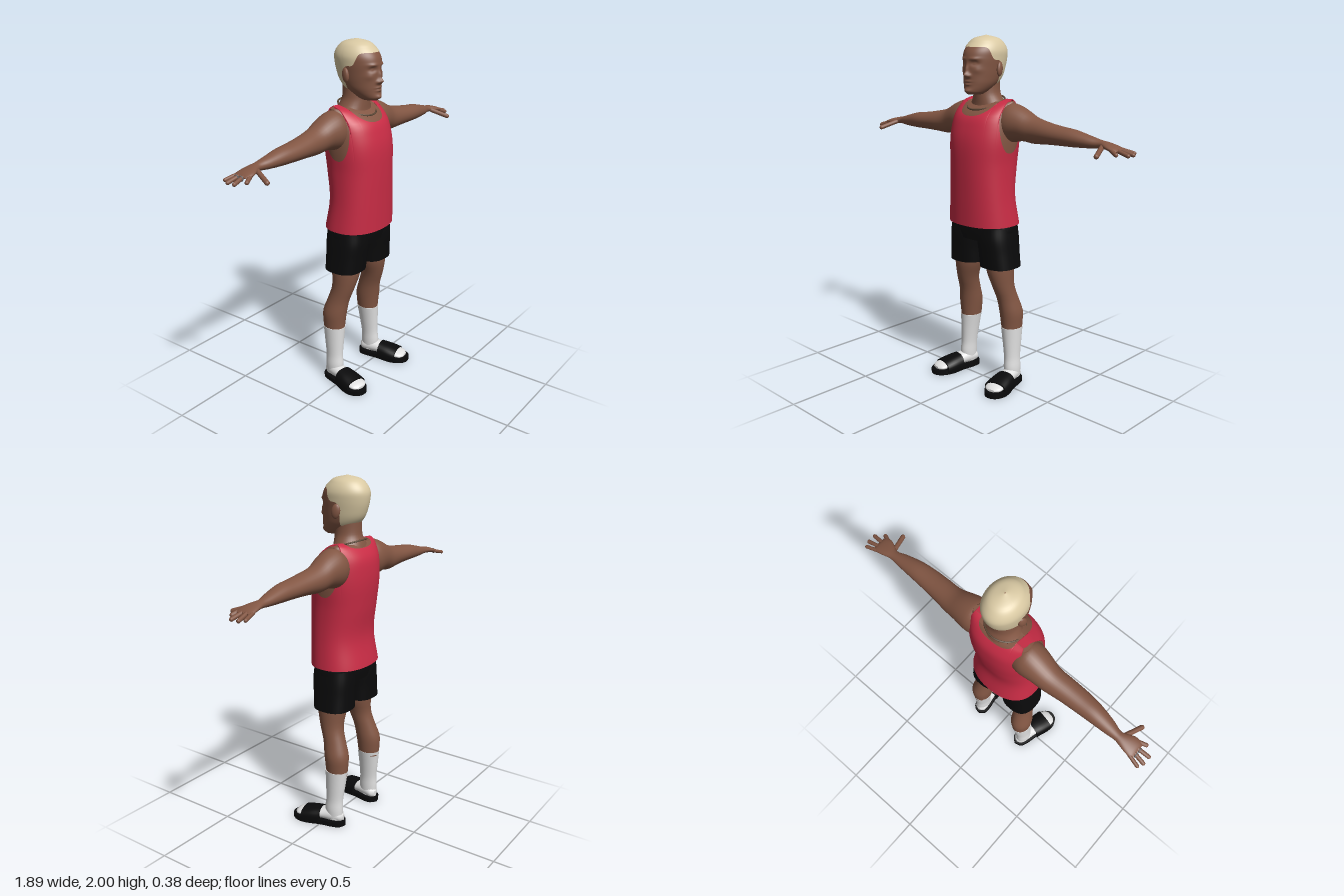
import * as THREE from 'three';

const material = (name, color, side = THREE.FrontSide) => {
  const m = new THREE.MeshStandardMaterial({ color, side });
  m.name = name;
  return m;
};

// Smooth interpolation through rows of [s, centreA, centreB, radiusA, radiusB]
function sample(rows, s) {
  const last = rows.length - 1;
  if (s <= rows[0][0]) return rows[0];
  if (s >= rows[last][0]) return rows[last];
  let i = 0;
  while (rows[i + 1][0] < s) i++;
  const h = rows[i + 1][0] - rows[i][0], t = (s - rows[i][0]) / h;
  const slope = (j, k) => {
    const a = rows[Math.max(j - 1, 0)], b = rows[Math.min(j + 1, last)];
    return (b[k] - a[k]) / (b[0] - a[0]);
  };
  return rows[i].map((v, k) => {
    const w = rows[i + 1][k], t2 = t * t, t3 = t2 * t;
    return v * (2 * t3 - 3 * t2 + 1) + w * (3 * t2 - 2 * t3)
      + h * (slope(i, k) * (t3 - 2 * t2 + t) + slope(i + 1, k) * (t3 - t2));
  });
}

// Surface through oval sections along an axis; its two edges may vary with the angle
function loft(rows, o = {}) {
  const { axis = 'y', grow = 1, p = 2, cols = 32, steps = 28, caps = true, warp } = o;
  const lo = o.lo ?? (() => rows[0][0]), hi = o.hi ?? (() => rows[rows.length - 1][0]);
  const pos = [], idx = [];
  const bend = v => Math.sign(v) * Math.abs(v) ** (2 / p);
  const put = (s, a, b) => {
    const v = axis === 'y' ? [a, s, b] : axis === 'x' ? [s, a, b] : [a, b, s];
    if (warp) warp(v);
    pos.push(...v);
  };
  const tri = (a, b, c) => (axis === 'y' ? idx.push(a, c, b) : idx.push(a, b, c));
  const ring = t => {
    for (let i = 0; i < cols; i++) {
      const q = (i / cols) * Math.PI * 2, l = lo(q);
      const s = l + (hi(q) - l) * (1 - Math.cos(Math.PI * t)) / 2;
      const [, ca, cb, ra, rb] = sample(rows, s);
      put(s, ca + ra * grow * bend(Math.cos(q)), cb + rb * grow * bend(Math.sin(q)));
    }
  };
  for (let j = 0; j <= steps; j++) ring(j / steps);
  for (let j = 0; j < steps; j++) for (let i = 0; i < cols; i++) {
    const a = j * cols + i, b = j * cols + (i + 1) % cols;
    tri(a, b, a + cols);
    tri(b, b + cols, a + cols);
  }
  if (caps) for (const end of [0, 1]) {
    const base = pos.length / 3, s = end ? hi(0) : lo(0), c = sample(rows, s);
    ring(end);
    put(s, c[1], c[2]);
    for (let i = 0; i < cols; i++) {
      const a = base + i, b = base + (i + 1) % cols, m = base + cols;
      end ? tri(a, b, m) : tri(b, a, m);
    }
  }
  const g = new THREE.BufferGeometry();
  g.setAttribute('position', new THREE.Float32BufferAttribute(pos, 3));
  g.setIndex(idx);
  g.computeVertexNormals();
  return g;
}

// Rounded rod between two points
function rod(a, b, r) {
  const A = new THREE.Vector3(...a), B = new THREE.Vector3(...b), d = B.clone().sub(A);
  const q = new THREE.Quaternion().setFromUnitVectors(new THREE.Vector3(0, 1, 0), d.clone().normalize());
  const mid = A.add(B).multiplyScalar(0.5);
  return new THREE.CapsuleGeometry(r, d.length(), 5, 12).applyQuaternion(q).translate(mid.x, mid.y, mid.z);
}

function mirrored(geo) {
  const g = geo.clone().scale(-1, 1, 1);
  const n = g.index ? Array.from(g.index.array) : [...Array(g.attributes.position.count).keys()];
  for (let i = 0; i < n.length; i += 3) [n[i], n[i + 1]] = [n[i + 1], n[i]];
  g.setIndex(n);
  return g;
}

export function createModel() {
  const model = new THREE.Group();
  const skin = material('skin', 0x825643);
  const shirt = material('red cloth', 0xc92c45, THREE.DoubleSide);
  const black = material('black', 0x0a0a0b, THREE.DoubleSide);
  const white = material('sock white', 0xe2e2e2);
  const blond = material('blond hair', 0xd9c9a3, THREE.DoubleSide);
  const chain = material('necklace brown', 0x5f4a38);
  const metal = material('ring grey', 0x77777a);
  const add = (name, geo, mat) => {
    const m = new THREE.Mesh(geo, mat);
    m.name = name;
    model.add(m);
  };
  const pair = (name, geo, mat) => {
    add('left' + name, geo, mat);
    add('right' + name, mirrored(geo), mat);
  };

  // Tank top: scooped at the neck and arms, straps meeting on the shoulders
  const trunk = [
    [0.96, 0, -0.01, 0.21, 0.165], [1.13, 0, 0.005, 0.195, 0.153], [1.3, 0, -0.004, 0.192, 0.164],
    [1.42, 0, -0.012, 0.2, 0.168], [1.5, 0, -0.02, 0.2, 0.16], [1.57, 0, -0.03, 0.195, 0.14],
    [1.62, 0, -0.045, 0.19, 0.095], [1.645, 0, -0.055, 0.185, 0.055], [1.658, 0, -0.07, 0.18, 0.001]];
  const scoop = (bottom, u) => bottom + (1.658 - bottom) * (1 - Math.sqrt(Math.max(0, 1 - u * u)));
  const shirtTop = q => {
    const a = Math.asin(Math.min(1, Math.abs(Math.sin(q)))) * 180 / Math.PI;
    if (a < 32) return scoop(1.37, a / 32);
    if (a > 55) return scoop(Math.sin(q) > 0 ? 1.57 : 1.625, (90 - a) / 35);
    return 1.658;
  };
  add('tankTop', loft(trunk, { p: 2.3, cols: 360, steps: 36, hi: shirtTop, caps: false }), shirt);
  add('torso', loft(trunk, { p: 2.3, cols: 64, lo: () => 1.2, hi: () => 1.645, grow: 0.96 }), skin);

  // Neck and necklace
  add('neck', loft([[1.56, 0, -0.045, 0.13, 0.1], [1.62, 0, -0.045, 0.113, 0.088], [1.65, 0, -0.04, 0.092, 0.083],
    [1.69, 0, -0.032, 0.073, 0.076], [1.78, 0, -0.03, 0.068, 0.075]]), skin);
  const loop = [];
  for (let i = 0; i < 24; i++) {
    const q = i / 24 * Math.PI * 2;
    loop.push(new THREE.Vector3(0.104 * Math.cos(q), 1.634 - 0.032 * Math.sin(q), -0.025 + 0.103 * Math.sin(q)));
  }
  add('necklace', new THREE.TubeGeometry(new THREE.CatmullRomCurve3(loop, true), 72, 0.005, 6, true), chain);

  // Head, with the features raised and sunk as soft bumps: x, y, width, height, depth
  const skull = [
    [1.685, 0, 0.06, 0.035, 0.05], [1.7, 0, 0.048, 0.056, 0.077], [1.74, 0, 0.02, 0.082, 0.106],
    [1.78, 0, 0.002, 0.093, 0.125], [1.83, 0, -0.008, 0.1, 0.136], [1.88, 0, -0.014, 0.105, 0.141],
    [1.92, 0, -0.02, 0.104, 0.135], [1.96, 0, -0.025, 0.086, 0.106], [1.985, 0, -0.025, 0.057, 0.07],
    [2, 0, -0.025, 0.003, 0.003]];
  const bumps = [
    [0, 1.79, 0.015, 0.014, 0.024], [0, 1.82, 0.01, 0.024, 0.012], [0.018, 1.786, 0.009, 0.008, 0.009],
    [0.04, 1.852, 0.02, 0.012, -0.013], [0.04, 1.851, 0.011, 0.006, 0.006], [0.04, 1.876, 0.024, 0.007, 0.007],
    [0, 1.755, 0.024, 0.005, 0.008], [0, 1.748, 0.024, 0.003, -0.004], [0, 1.74, 0.02, 0.006, 0.008],
    [0, 1.705, 0.024, 0.012, 0.01], [0.058, 1.815, 0.018, 0.016, 0.005]];
  const face = v => {
    if (v[2] < 0.02) return;
    for (const [x, y, w, h, d] of bumps)
      v[2] += d * Math.exp(-(((Math.abs(v[0]) - x) / w) ** 2) - ((v[1] - y) / h) ** 2);
  };
  add('head', loft(skull, { cols: 160, steps: 80, grow: 0.97, hi: () => 1.975, warp: face }), skin);
  const hairline = [[-1, 1.725], [-0.45, 1.745], [-0.3, 1.78], [-0.15, 1.855], [0.25, 1.875], [0.55, 1.93], [1, 1.938]];
  add('hair', loft(skull, { cols: 160, steps: 36, caps: false, lo: q => sample(hairline, Math.sin(q))[1] }), blond);
  pair('Ear', new THREE.SphereGeometry(1, 16, 12).scale(0.014, 0.04, 0.025).rotateX(-0.15).rotateY(0.3)
    .translate(0.104, 1.82, -0.022), skin);

  // Arms with palms, held out to the sides
  pair('Arm', loft([
    [0.1, 1.53, -0.05, 0.085, 0.08], [0.17, 1.532, -0.052, 0.107, 0.094], [0.21, 1.532, -0.053, 0.1, 0.092],
    [0.26, 1.526, -0.055, 0.086, 0.083], [0.33, 1.505, -0.057, 0.072, 0.072], [0.43, 1.497, -0.05, 0.058, 0.065],
    [0.52, 1.492, -0.047, 0.05, 0.06], [0.6, 1.488, -0.048, 0.045, 0.053], [0.7, 1.478, -0.054, 0.031, 0.039],
    [0.76, 1.473, -0.06, 0.021, 0.027], [0.79, 1.471, -0.057, 0.019, 0.036], [0.83, 1.464, -0.052, 0.017, 0.049],
    [0.865, 1.456, -0.053, 0.013, 0.049], [0.88, 1.453, -0.055, 0.005, 0.04]], { axis: 'x', steps: 48 }), skin);
  const fingers = [
    ['Thumb', [0.785, 1.464, -0.03], [0.82, 1.432, 0.064], 0.013],
    ['IndexFinger', [0.85, 1.456, -0.014], [0.892, 1.44, 0.004], 0.011],
    ['MiddleFinger', [0.86, 1.456, -0.042], [0.936, 1.436, -0.034], 0.011],
    ['RingFinger', [0.86, 1.456, -0.068], [0.936, 1.436, -0.078], 0.011],
    ['LittleFinger', [0.85, 1.456, -0.092], [0.922, 1.44, -0.109], 0.01]];
  for (const [name, a, b, r] of fingers) pair(name, rod(a, b, r), skin);
  for (const z of [-0.04, -0.071])
    add('fingerRing', new THREE.TorusGeometry(0.012, 0.003, 6, 16).rotateY(Math.PI / 2).translate(-0.885, 1.45, z), metal);

  // Shorts
  add('shortsWaist', loft([[0.87, 0, -0.012, 0.19, 0.115], [0.92, 0, -0.013, 0.204, 0.123], [0.99, 0, -0.013, 0.195, 0.125]],
    { p: 2.4, cols: 48 }), black);
  pair('ShortsLeg', loft([[0.715, 0.118, -0.02, 0.107, 0.11], [0.8, 0.112, -0.016, 0.104, 0.114],
    [0.88, 0.105, -0.013, 0.104, 0.119], [0.95, 0.1, -0.013, 0.1, 0.115]], { p: 2.5 }), black);

  // Legs and socks
  pair('Leg', loft([[0.32, 0.166, -0.07, 0.054, 0.064], [0.37, 0.165, -0.07, 0.059, 0.068], [0.44, 0.163, -0.066, 0.064, 0.073],
    [0.52, 0.153, -0.046, 0.058, 0.067], [0.6, 0.142, -0.02, 0.06, 0.069], [0.7, 0.125, -0.011, 0.077, 0.084],
    [0.85, 0.115, -0.013, 0.085, 0.09]]), skin);
  pair('Sock', loft([[0.04, 0.18, -0.062, 0.04, 0.052], [0.1, 0.18, -0.06, 0.043, 0.056], [0.16, 0.177, -0.062, 0.042, 0.053],
    [0.25, 0.172, -0.066, 0.049, 0.06], [0.345, 0.166, -0.069, 0.059, 0.068]]), white);

  // Feet in open slides, toes turned out
  const place = g => g.rotateY(0.2).translate(0.18, 0, -0.06);
  pair('Foot', place(loft([[-0.06, 0, 0.05, 0.012, 0.018], [-0.045, 0, 0.055, 0.034, 0.03], [0, 0, 0.06, 0.043, 0.042],
    [0.06, 0, 0.058, 0.045, 0.036], [0.12, 0, 0.05, 0.052, 0.03], [0.18, 0, 0.044, 0.056, 0.022],
    [0.22, 0, 0.04, 0.048, 0.016], [0.237, 0, 0.038, 0.025, 0.007]], { axis: 'z' })), white);
  pair('SlideStrap', place(loft([[0.075, 0, 0.03, 0.064, 0.062], [0.13, 0, 0.03, 0.069, 0.054], [0.19, 0, 0.026, 0.07, 0.045]],
    { axis: 'z', p: 2.4, warp: v => { v[1] = Math.max(v[1], 0.005); } })), black);
  const outline = new THREE.Shape(new THREE.SplineCurve([
    [0, 0.073], [0.04, 0.05], [0.052, 0], [0.055, -0.07], [0.07, -0.15], [0.064, -0.21], [0.03, -0.252], [-0.02, -0.254],
    [-0.056, -0.215], [-0.067, -0.15], [-0.054, -0.07], [-0.051, 0], [-0.04, 0.05], [0, 0.073]]
    .map(([x, y]) => new THREE.Vector2(x, y))).getPoints(56));
  pair('SlideSole', place(new THREE.ExtrudeGeometry(outline, { depth: 0.028, bevelEnabled: false }).rotateX(-Math.PI / 2)), black);
  return model;
}
